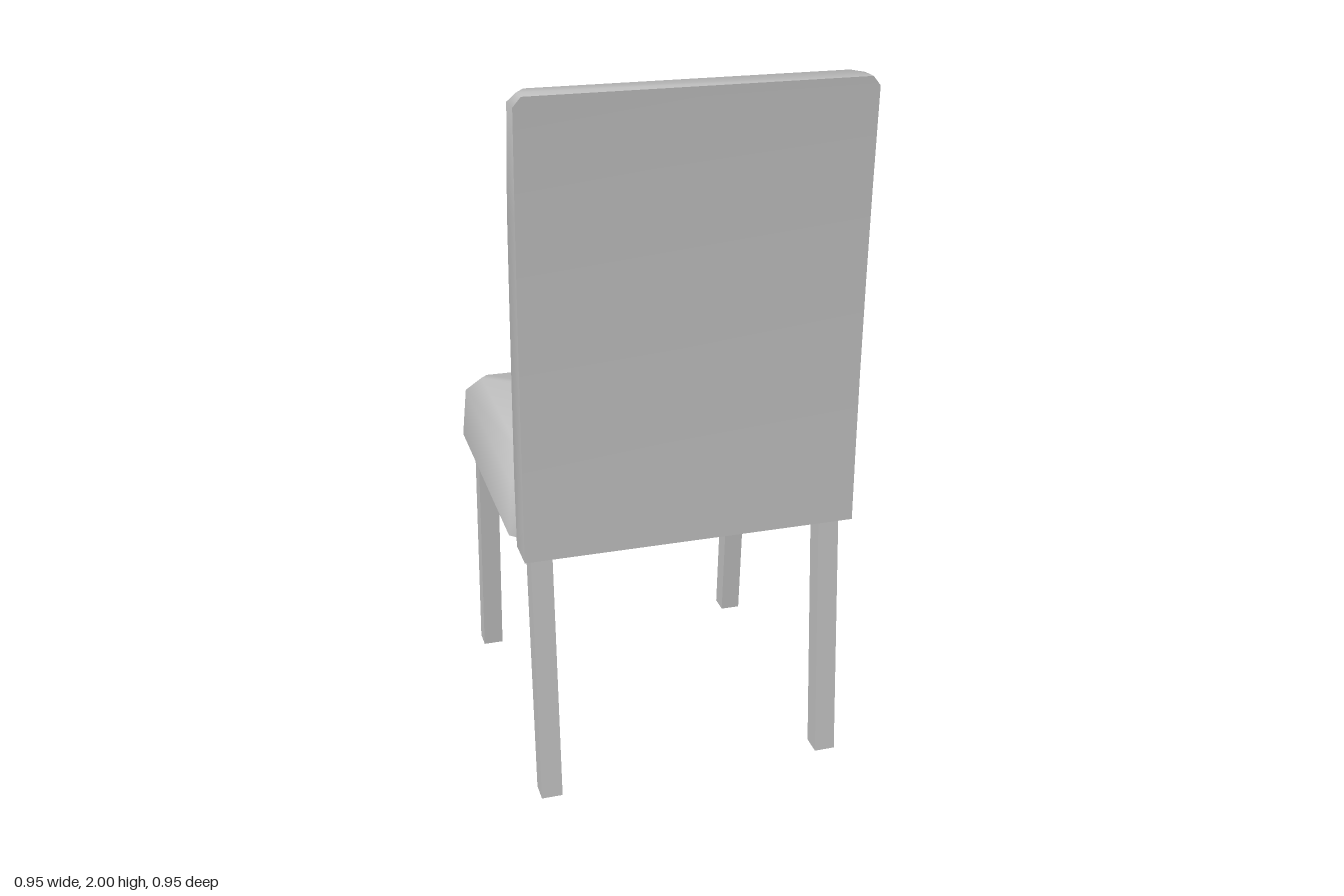
import * as THREE from 'three';
import { toCreasedNormals } from 'three/addons/utils/BufferGeometryUtils.js';

// Closed solid through stacked convex rings of [x, y, z], counter-clockwise from above
function loft(rings) {
  const n = rings[0].length, last = (rings.length - 1) * n, index = [];
  for (let r = 0; r < last; r += n) {
    for (let j = 0; j < n; j++) {
      const k = (j + 1) % n;
      index.push(r + j, r + k, r + n + k, r + j, r + n + k, r + n + j);
    }
  }
  for (let j = 1; j < n - 1; j++) {
    index.push(0, j + 1, j, last, last + j, last + j + 1);
  }
  const geometry = new THREE.BufferGeometry();
  geometry.setAttribute('position', new THREE.Float32BufferAttribute(rings.flat(2), 3));
  geometry.setIndex(index);
  return toCreasedNormals(geometry, 1.1);
}

// Rectangle with cut corners
const seatRing = (y, w, front, back, cut) => [
  [w, y, back - cut], [w, y, front + cut], [w - cut, y, front], [cut - w, y, front],
  [-w, y, front + cut], [-w, y, back - cut], [cut - w, y, back], [w - cut, y, back],
];

// Flat at the rear, bevelled on the sitter's side
const backRing = (y, w, front, rear) => [
  [w, y, rear], [w, y, front + 0.04], [w - 0.025, y, front],
  [0.025 - w, y, front], [-w, y, front + 0.04], [-w, y, rear],
];

const legRing = (y, z) => {
  const h = 0.03;
  return [[h, y, z + h], [h, y, z - h], [-h, y, z - h], [-h, y, z + h]];
};

export function createModel() {
  const chair = new THREE.Group();
  chair.name = 'diningChair';
  const grey = new THREE.MeshStandardMaterial({ color: 0xc0c0c0 });
  grey.name = 'plain grey';

  const add = (name, rings, x = 0) => {
    const mesh = new THREE.Mesh(loft(rings), grey);
    mesh.name = name;
    mesh.position.x = x;
    chair.add(mesh);
  };

  // Cushioned seat with a bevelled upper edge
  add('seat', [
    seatRing(0.75, 0.476, -0.473, 0.3, 0.028),
    seatRing(0.905, 0.464, -0.457, 0.288, 0.028),
    seatRing(0.955, 0.42, -0.41, 0.24, 0.02),
  ]);

  // Tall backrest leaning backwards: height, half width, front z, rear z
  add('backrest', [
    [0.75, 0.468, 0.3, 0.442],
    [0.95, 0.468, 0.295, 0.442],
    [1.2, 0.468, 0.303, 0.444],
    [1.45, 0.468, 0.312, 0.45],
    [1.7, 0.468, 0.324, 0.459],
    [1.975, 0.468, 0.363, 0.473],
    [2.0, 0.447, 0.382, 0.475],
  ].map((ring) => backRing(...ring)));

  // Square legs splayed to the front and rear
  for (const [side, x] of [['left', 0.414], ['right', -0.414]]) {
    add(side + 'FrontLeg', [legRing(0, -0.44), legRing(0.75, -0.388)], x);
    add(side + 'RearLeg', [legRing(0, 0.426), legRing(0.75, 0.372)], x);
  }

  return chair;
}
